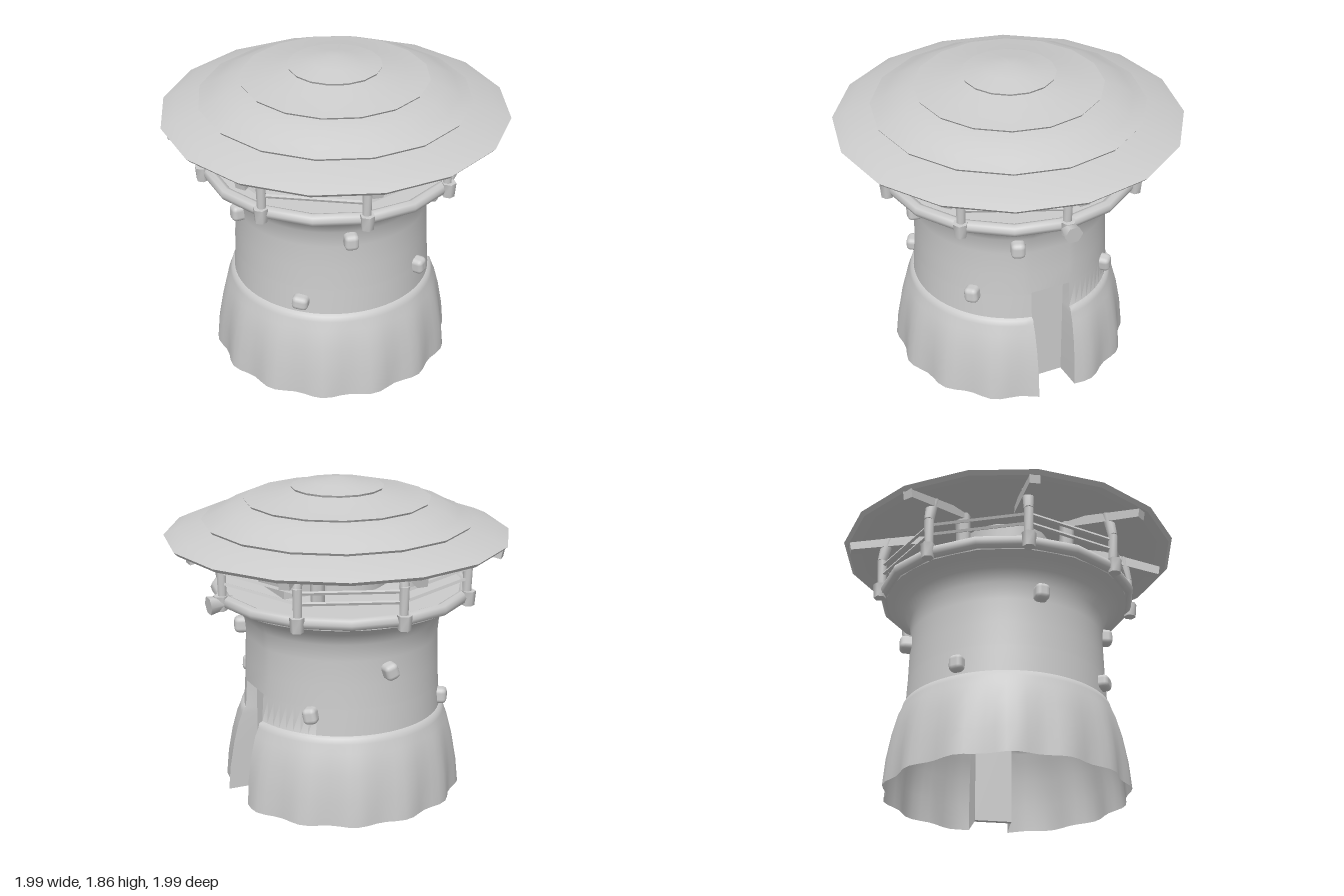
import * as THREE from 'three';
import { toCreasedNormals } from 'three/addons/utils/BufferGeometryUtils.js';
import { RoundedBoxGeometry } from 'three/addons/geometries/RoundedBoxGeometry.js';

const mat = new THREE.MeshStandardMaterial({ color: 0xcccccc, side: THREE.DoubleSide });

function add(parent, name, geo, x = 0, y = 0, z = 0) {
  const m = new THREE.Mesh(geo, mat);
  m.name = name;
  m.position.set(x, y, z);
  parent.add(m);
  return m;
}

// Tapered bar between two points
function bar(parent, name, a, b, r0, r1 = r0, sides = 6) {
  const d = b.clone().sub(a);
  const geo = toCreasedNormals(new THREE.CylinderGeometry(r1, r0, d.length(), sides), 1.1);
  const m = add(parent, name, geo);
  m.position.copy(a).addScaledVector(d, 0.5);
  m.quaternion.setFromUnitVectors(new THREE.Vector3(0, 1, 0), d.normalize());
  return m;
}

const polar = (r, y, a) => new THREE.Vector3(r * Math.cos(a), y, r * Math.sin(a));

// Tower shell: rings of a flared profile, folded skirt, doorway cut at +x
function towerGeometry() {
  const doorTop = 0.66, half = 0.12, innerHalf = 0.108, inner = 0.5, n = 72;
  const rows = [[0, 0.69], [0.15, 0.68], [0.3, 0.657], [0.42, 0.628], [0.47, 0.608], [0.5, 0.6],
    [0.51, 0.582], [0.66, 0.573], [0.675, 0.572], [0.8, 0.568], [0.95, 0.563], [1.05, 0.572],
    [1.12, 0.61], [1.16, 0.67], [1.18, 0.71]];
  const pos = [], idx = [], w = n + 3;
  rows.forEach(([y, r]) => {
    const edge = Math.asin(half / r);
    for (let j = 0; j < w; j++) {
      const k = Math.min(Math.max(j - 1, 0), n);
      const a = edge + (2 * Math.PI - 2 * edge) * k / n;
      const fold = y < 0.48 ? 0.016 * Math.sin(14 * a) * (1 - y / 0.48) : 0;
      const p = polar(r + fold, y, a);
      // end columns form the door jambs
      if ((j === 0 || j === w - 1) && y <= doorTop) p.set(inner, y, j === 0 ? innerHalf : -innerHalf);
      pos.push(p.x, p.y, p.z);
    }
  });
  for (let i = 0; i < rows.length - 1; i++) {
    for (let j = 0; j < w; j++) {
      // the row above the door slopes back to form the lintel
      if (j === w - 1 && rows[i][0] < doorTop) continue;
      const a = i * w + j, b = i * w + (j + 1) % w;
      idx.push(a, a + w, b, b, a + w, b + w);
    }
  }
  const g = new THREE.BufferGeometry();
  g.setAttribute('position', new THREE.Float32BufferAttribute(pos, 3));
  g.setIndex(idx);
  return toCreasedNormals(g, 1.0);
}

// Stepped roof with shallow overlapping tiers and a sloping underside
function roofGeometry() {
  const pts = [[0, 1.61], [0.6, 1.595], [0.975, 1.515], [0.996, 1.537], [0.92, 1.572], [0.77, 1.613],
    [0.78, 1.627], [0.705, 1.66], [0.62, 1.707], [0.53, 1.73], [0.538, 1.742], [0.41, 1.765],
    [0.262, 1.8], [0.268, 1.812], [0.14, 1.835], [0, 1.86]];
  const g = new THREE.LatheGeometry(pts.map(p => new THREE.Vector2(...p)), 16);
  return toCreasedNormals(g, 0.8);
}

export function createModel() {
  const model = new THREE.Group();
  model.name = 'watchtower';
  add(model, 'roof', roofGeometry());

  const tower = new THREE.Group();
  tower.name = 'tower';
  tower.position.set(-0.02, 0, -0.015);
  model.add(tower);
  add(tower, 'towerWall', towerGeometry());
  add(tower, 'door', new THREE.BoxGeometry(0.03, 0.66, 0.22), 0.488, 0.33, 0);

  // Gallery deck with rounded rim
  add(tower, 'deck', toCreasedNormals(new THREE.CylinderGeometry(0.73, 0.71, 0.06, 16), 0.6), 0, 1.215, 0);
  const rim = add(tower, 'deckRim', new THREE.TorusGeometry(0.725, 0.036, 8, 16), 0, 1.222, 0);
  rim.rotation.x = Math.PI / 2;

  // Posts with feet, rafters and straight rails, repeated around the gallery
  for (let i = 0; i < 8; i++) {
    const a = i * Math.PI / 4, b = a + Math.PI / 4;
    const knee = polar(0.75, 1.42, a);
    bar(tower, 'postLower', polar(0.745, 1.22, a), knee, 0.025, 0.028, 8);
    bar(tower, 'postUpper', knee, polar(0.72, 1.57, a), 0.028, 0.036, 8);
    bar(tower, 'postFoot', polar(0.755, 1.175, a), polar(0.757, 1.26, a), 0.036, 0.042);
    const rafter = add(tower, 'rafter', new THREE.BoxGeometry(0.5, 0.06, 0.06));
    rafter.position.copy(polar(0.7, 1.545, a));
    rafter.rotation.set(0, -a, -0.19, 'YXZ');
    for (const y of [1.33, 1.39]) bar(tower, 'rail', polar(0.745, y, a), polar(0.745, y, b), 0.011, 0.011, 4);
  }
  // Protruding peg above the door
  bar(tower, 'peg', new THREE.Vector3(0.68, 1.22, 0), new THREE.Vector3(0.83, 1.21, 0), 0.03, 0.055);

  // Inner room and its four columns
  add(tower, 'innerRoom', toCreasedNormals(new THREE.CylinderGeometry(0.26, 0.26, 0.37, 16), 0.6), 0, 1.425, 0);
  add(tower, 'innerEntrance', new THREE.BoxGeometry(0.3, 0.35, 0.36), 0.3, 1.42, 0);
  for (let i = 0; i < 4; i++) {
    const a = Math.PI / 4 + i * Math.PI / 2;
    bar(tower, 'innerColumn', polar(0.42, 1.24, a), polar(0.44, 1.6, a), 0.04, 0.045);
  }

  // Rounded stones set into the wall, each facing outward: position, roll
  const stones = [[-0.04, 1.0, 0.58, 0], [0.55, 1.0, 0.2, 0], [0.41, 0.665, 0.42, 0.1],
    [-0.3, 0.585, 0.48, 1.5], [-0.57, 0.99, 0.1, 0], [0.41, 0.63, -0.43, 0.2],
    [-0.01, 0.88, -0.58, 0.3], [-0.46, 0.57, -0.34, 0]];
  stones.forEach(([x, y, z, roll]) => {
    const a = Math.atan2(z, x);
    const stone = add(tower, 'wallStone', new RoundedBoxGeometry(0.12, 0.095, 0.082, 2, 0.028));
    stone.position.copy(polar(0.57, y, a));
    stone.rotation.set(roll, -a, 0, 'YXZ');
  });
  return model;
}
